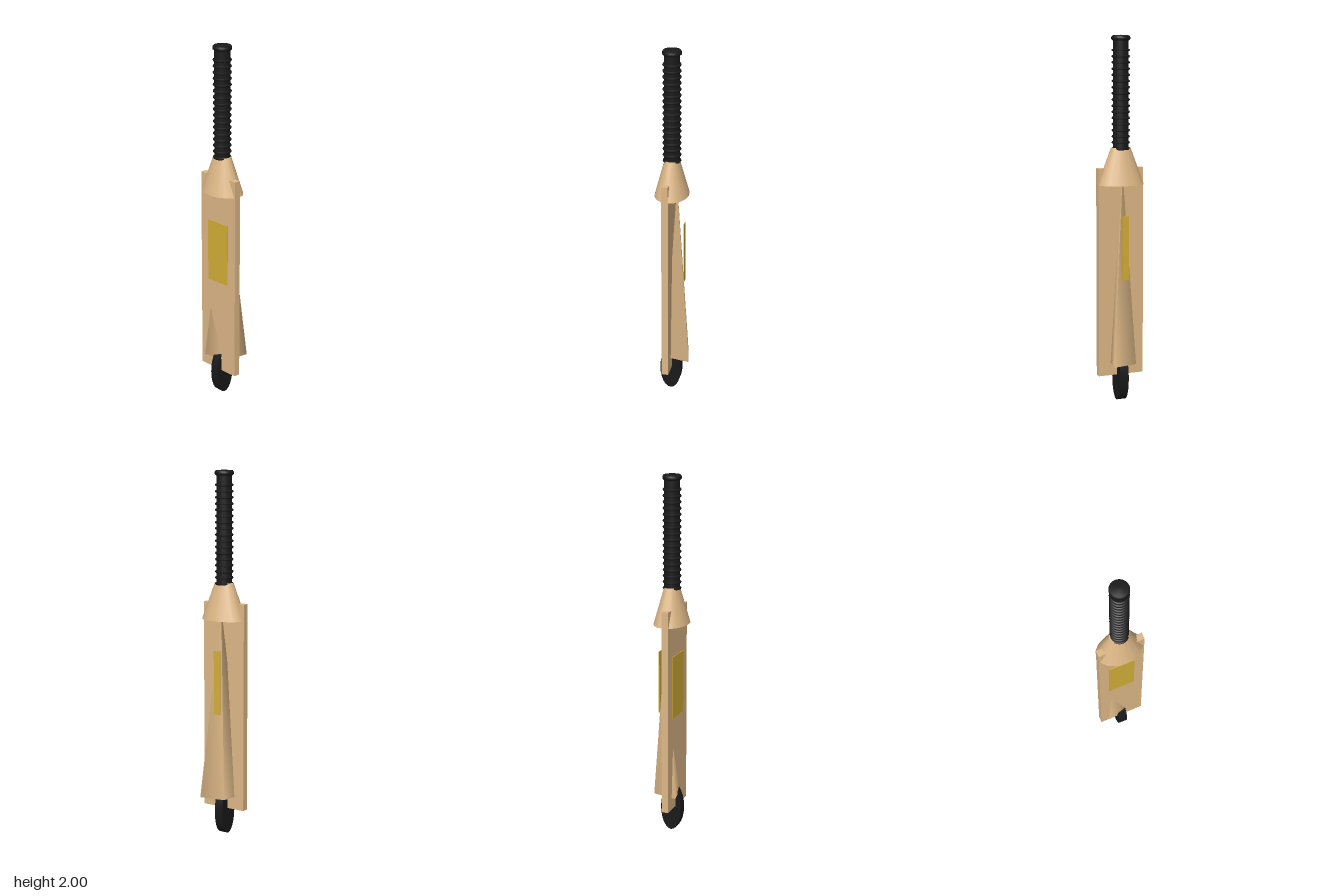
import * as THREE from 'three';

const material = (name, color) => {
  const m = new THREE.MeshStandardMaterial({ color });
  m.name = name;
  return m;
};

export function createModel() {
  const willow = material('willow', 0xdeb887);
  const rubber = material('black rubber', 0x1a1a1a);
  const gold = material('gold', 0xd4af37);
  const model = new THREE.Group();
  model.name = 'bat';

  const add = (name, geometry, mat, x, y, z, parent = model) => {
    const mesh = new THREE.Mesh(geometry, mat);
    mesh.name = name;
    mesh.position.set(x, y, z);
    parent.add(mesh);
    return mesh;
  };

  // Flat blade
  add('blade', new THREE.BoxGeometry(0.26, 1.145, 0.037), willow, 0, 0.7175, 0.0215);

  // Tapered four-sided spine with a diamond base that pierces the blade
  const spine = add('spine', new THREE.ConeGeometry(1, 1.05, 4), willow, 0, 0.74, -0.02);
  spine.scale.set(0.118, 1, 0.079);
  spine.rotation.y = Math.PI / 4;

  // Oval shoulder between blade and handle
  const shoulder = add('shoulder', new THREE.CylinderGeometry(0.055, 0.131, 0.2, 16), willow, 0, 1.3, 0.008);
  shoulder.scale.z = 0.71;

  // Rounded toe guard
  const toe = add('toeGuard', new THREE.CylinderGeometry(1, 1, 0.05, 24), rubber, 0, 0.13, 0.012);
  toe.rotation.z = Math.PI / 2;
  toe.scale.set(0.13, 1, 0.06);

  // Handle with ribbed grip and end cap
  const handle = new THREE.Group();
  handle.name = 'handle';
  handle.position.z = 0.008;
  model.add(handle);
  add('grip', new THREE.CylinderGeometry(0.042, 0.042, 0.595, 20), rubber, 0, 1.6825, 0, handle);
  const ribGeometry = new THREE.TorusGeometry(0.043, 0.007, 6, 20).rotateX(Math.PI / 2);
  const ribs = 17;
  for (let i = 0; i < ribs; i++) {
    add('gripRib', ribGeometry, rubber, 0, 1.395 + (i * 0.525) / (ribs - 1), 0, handle);
  }
  const capProfile = [[0, 0], [0.044, 0], [0.051, 0.007], [0.051, 0.018], [0.045, 0.027], [0, 0.03]]
    .map(([r, y]) => new THREE.Vector2(r, y));
  add('endCap', new THREE.LatheGeometry(capProfile, 20), rubber, 0, 1.97, 0, handle);

  // Plain gold panels on the face and above the spine
  add('facePanel', new THREE.BoxGeometry(0.15, 0.35, 0.004), gold, 0, 0.855, 0.0415);
  add('backPanel', new THREE.BoxGeometry(0.04, 0.35, 0.004), gold, 0, 0.86, -0.061);

  return model;
}
